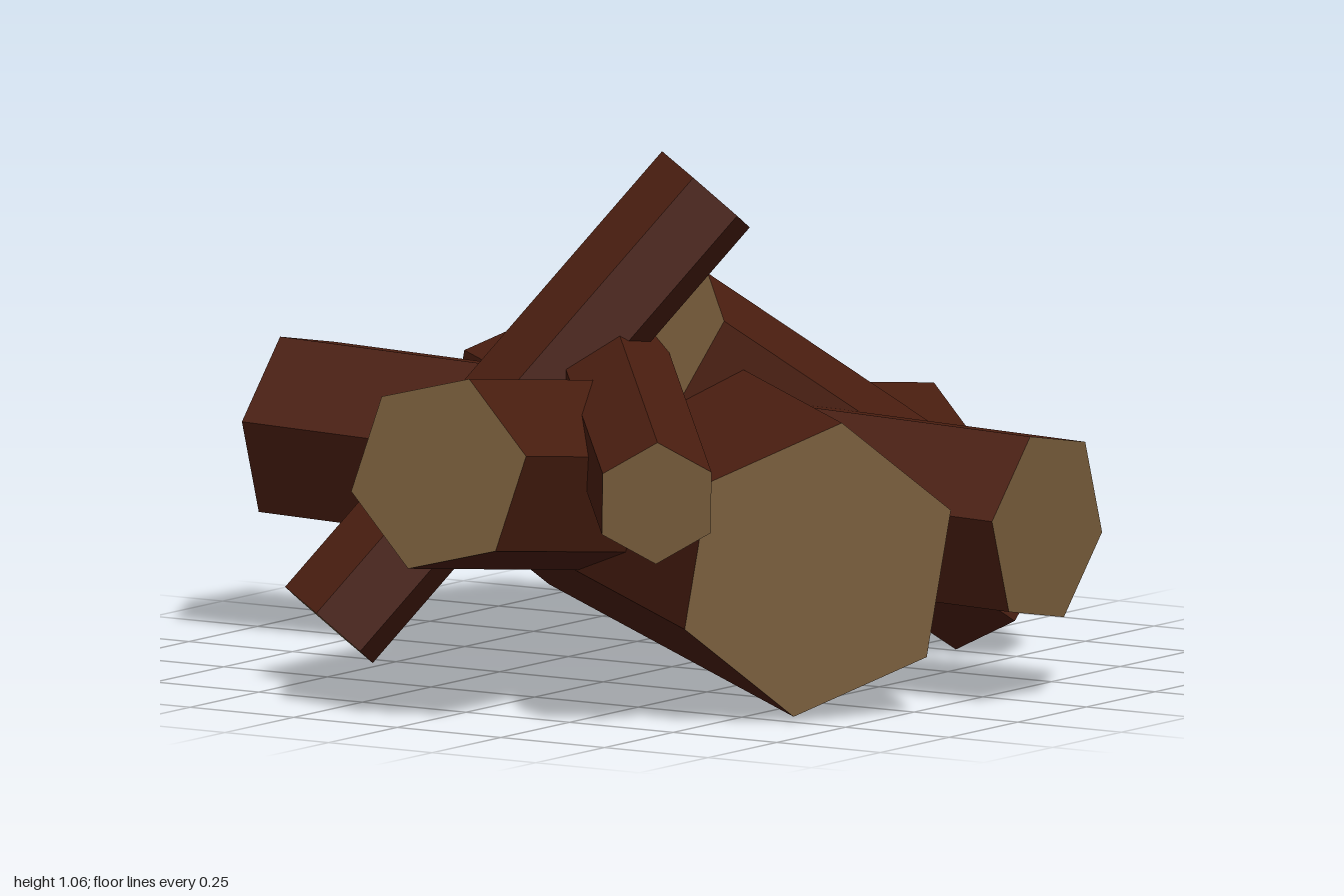
import * as THREE from 'three';

const bark = new THREE.MeshStandardMaterial({ color: 0x4a1e10, flatShading: true });
const cutWood = new THREE.MeshStandardMaterial({ color: 0x7a5e3c, flatShading: true });

// Six-sided log from point a to point b; roll (degrees) turns it about its axis.
function makeLog(name, a, b, radius, roll) {
  const start = new THREE.Vector3(...a);
  const end = new THREE.Vector3(...b);
  const axis = end.clone().sub(start);
  const geometry = new THREE.CylinderGeometry(radius, radius, axis.length(), 6);
  geometry.rotateY(THREE.MathUtils.degToRad(roll));

  axis.normalize();
  const side = new THREE.Vector3().crossVectors(axis, new THREE.Vector3(0, 1, 0)).normalize();
  const up = new THREE.Vector3().crossVectors(side, axis);

  const log = new THREE.Mesh(geometry, [bark, cutWood, cutWood]);
  log.name = name;
  log.quaternion.setFromRotationMatrix(new THREE.Matrix4().makeBasis(side, axis, up));
  log.position.addVectors(start, end).multiplyScalar(0.5);
  return log;
}

export function createModel() {
  const pile = new THREE.Group();
  pile.name = 'logPile';
  pile.add(
    // crossed logs at the bottom
    makeLog('sidewaysLog', [-0.905, 0.435, 0], [0.905, 0.38, 0], 0.205, 20),
    makeLog('frontToBackLog', [-0.085, 0.28, -0.97], [0.08, 0.54, 0.97], 0.203, -16),
    makeLog('thickDiagonalLog', [-0.53, 0.39, -0.44], [0.66, 0.33, 0.465], 0.302, -9),
    // thinner logs leaning on top
    makeLog('steepLog', [-0.45, 0.14, 0.57], [0.105, 1.005, 0.035], 0.12, 0),
    makeLog('leaningBackLog', [0.04, 0.68, 0.085], [0.39, 0.17, -0.6], 0.178, 0),
    makeLog('thinDiagonalLog', [-0.26, 0.66, -0.12], [0.52, 0.5, 0.84], 0.127, 0)
  );
  return pile;
}
